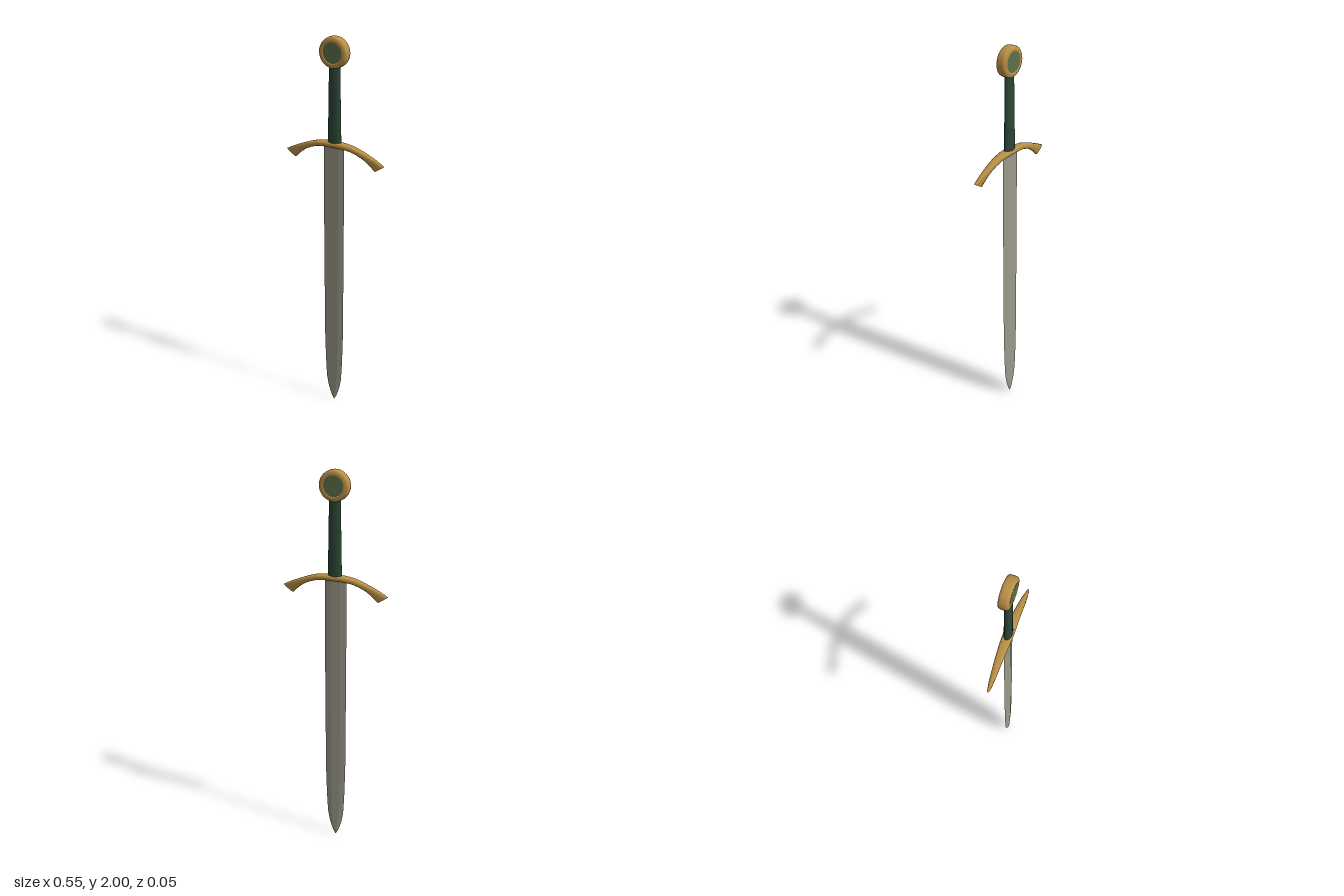
import * as THREE from 'three';

const mat = (name, color) => {
  const m = new THREE.MeshStandardMaterial({ color });
  m.name = name;
  return m;
};

// Skin a list of equal-sized rings (counter-clockwise about the travel direction) and cap both ends
function loft(rings, flat) {
  const n = rings[0].length, last = rings.length - 1;
  const pos = rings.flat(), index = [];
  for (let i = 0; i < last; i++) {
    for (let j = 0; j < n; j++) {
      const a = i * n + j, b = i * n + (j + 1) % n;
      index.push(a, b, b + n, a, b + n, a + n);
    }
  }
  const start = pos.length, end = start + n;
  pos.push(...rings[0], ...rings[last]);
  for (let j = 1; j < n - 1; j++) {
    index.push(start, start + j + 1, start + j, end, end + j, end + j + 1);
  }
  let g = new THREE.BufferGeometry();
  g.setAttribute('position', new THREE.Float32BufferAttribute(pos.flat(), 3));
  g.setIndex(index);
  if (flat) g = g.toNonIndexed();
  g.computeVertexNormals();
  return g;
}

export function createModel() {
  const gold = mat('gold', 0xb98f45);
  const steel = mat('steel', 0x9c998a);
  const leather = mat('green leather', 0x2b4635);
  const stone = mat('green inlay', 0x5b7048);

  const sword = new THREE.Group();
  sword.name = 'sword';
  const add = (name, geometry, material) => {
    const mesh = new THREE.Mesh(geometry, material);
    mesh.name = name;
    sword.add(mesh);
    return mesh;
  };

  // Blade: thin six-sided section, [height, half width]
  const bladeRows = [[0, 0.001], [0.03, 0.017], [0.08, 0.033], [0.14, 0.044],
    [0.25, 0.05], [0.42, 0.055], [1.0, 0.057], [1.475, 0.057]];
  const blade = add('blade', loft(bladeRows.map(([y, w]) => {
    const m = w * 0.45, t = Math.min(0.0045, w * 0.25);
    return [[-m, y, t], [m, y, t], [w, y, 0], [m, y, -t], [-m, y, -t], [-w, y, 0]];
  }), true), steel);
  blade.position.x = -0.004;

  // Cross guard: drooping arms, [top x, top y, bottom x, bottom y, half depth]
  const arm = [[0, 1.49, 0, 1.462, 0.025], [0.05, 1.489, 0.047, 1.461, 0.024],
    [0.1, 1.482, 0.09, 1.456, 0.021], [0.14, 1.47, 0.125, 1.445, 0.019],
    [0.18, 1.455, 0.16, 1.429, 0.0165], [0.225, 1.436, 0.19, 1.407, 0.0135],
    [0.274, 1.411, 0.222, 1.376, 0.007]];
  const mirrored = arm.slice(1).reverse().map(([a, b, c, d, e]) => [-a, b, -c, d, e]);
  const sides = 12;
  const soften = v => Math.sign(v) * Math.abs(v) ** 0.7;
  add('crossGuard', loft([...mirrored, ...arm].map(([tx, ty, bx, by, d]) =>
    Array.from({ length: sides }, (_, j) => {
      const a = j / sides * Math.PI * 2;
      const k = soften(Math.cos(a)) / 2;
      return [(tx + bx) / 2 + (tx - bx) * k, (ty + by) / 2 + (ty - by) * k, d * soften(Math.sin(a))];
    }))), gold);

  // Grip: tapered oval handle
  const grip = add('grip', new THREE.CylinderGeometry(0.029, 0.036, 0.39, 20), leather);
  grip.scale.z = 0.54;
  grip.position.y = 1.675;

  // Pommel: rounded disc rim with an inlay on both faces
  const profile = [[0.047, -0.02], [0.05, -0.025], [0.057, -0.0255], [0.067, -0.0235], [0.073, -0.019],
    [0.075, -0.01], [0.075, 0.01], [0.073, 0.019], [0.067, 0.0235], [0.057, 0.0255], [0.05, 0.025], [0.047, 0.02]];
  const rim = add('pommelRim',
    new THREE.LatheGeometry(profile.map(p => new THREE.Vector2(...p)), 32), gold);
  const inlay = add('pommelInlay', new THREE.CylinderGeometry(0.05, 0.05, 0.048, 32), stone);
  for (const part of [rim, inlay]) {
    part.rotation.x = Math.PI / 2;
    part.position.y = 1.925;
  }

  return sword;
}
